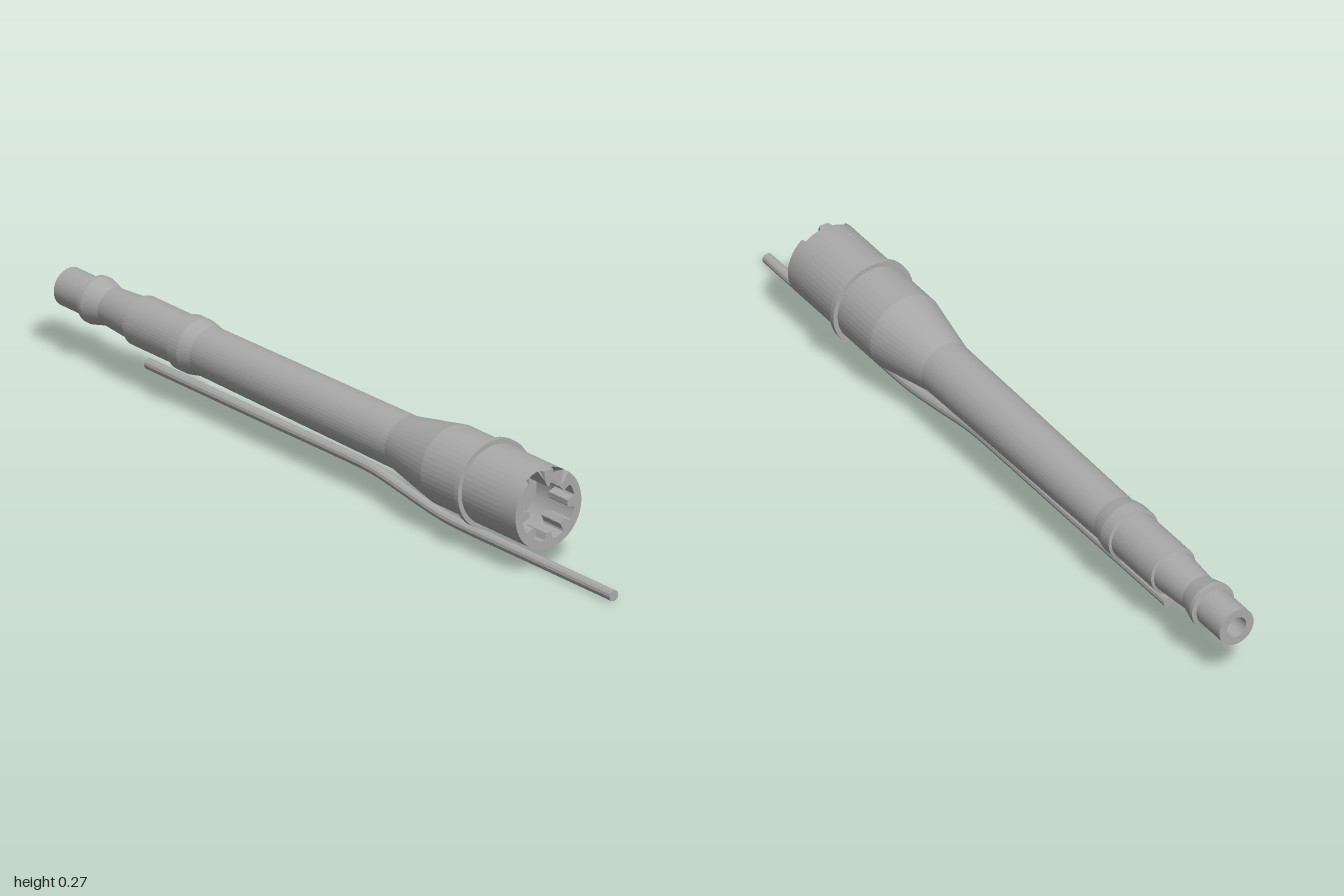
import * as THREE from 'three';

const AXIS_Y = 0.157;
const steel = new THREE.MeshStandardMaterial({ color: 0xaaaaaa, flatShading: true });
steel.name = 'grey steel';

// Revolve [radius, z] pairs about the z axis
function revolve(profile, segments) {
  const geo = new THREE.LatheGeometry(profile.map(([r, z]) => new THREE.Vector2(r, z)), segments);
  return geo.rotateX(Math.PI / 2);
}

function part(name, geometry) {
  const mesh = new THREE.Mesh(geometry, steel);
  mesh.name = name;
  return mesh;
}

// Front mouth: locking lugs inside the rim and two feed ramps near the top
function mouthGeometry() {
  const profile = [
    [0.1, 0.7], [0.1, 0.76], [0.08, 0.76], [0.08, 0.69], [0.08, 0.688], [0.08, 0.62],
    [0.058, 0.62], [0.037, 0.58], [0.035, 0.46], [0.027, 0.43], [0.027, -1],
  ];
  const geo = revolve(profile, 144);
  const pos = geo.attributes.position;
  for (let i = 0; i < pos.count; i++) {
    const row = i % profile.length;
    if (row < 1 || row > 3) continue;
    const x = pos.getX(i), y = pos.getY(i);
    const fromTop = Math.abs(THREE.MathUtils.radToDeg(Math.atan2(x, y)));
    const fromLug = Math.abs(fromTop - Math.round(fromTop / 45) * 45);
    const ramp = fromTop > 10 && fromTop < 36;
    if (row > 1) {
      const tip = fromTop < 20 ? 2 : 7;
      const height = 1 - THREE.MathUtils.smoothstep(fromLug, tip, 11);
      const scale = (0.08 - 0.022 * height) / 0.08;
      pos.setXY(i, x * scale, y * scale);
    }
    if (ramp && row === 1) pos.setZ(i, 0.747);
    if (ramp && row === 2) pos.setZ(i, 0.705);
  }
  geo.computeVertexNormals();
  return geo;
}

export function createModel() {
  const model = new THREE.Group();
  model.name = 'barrelAssembly';

  const barrel = new THREE.Group();
  barrel.name = 'barrel';
  barrel.position.y = AXIS_Y;
  model.add(barrel);

  // Stepped outer body from the muzzle to the mouth
  barrel.add(part('barrelBody', revolve([
    [0.027, -1], [0.048, -1], [0.048, -0.902], [0.059, -0.9], [0.059, -0.888], [0.047, -0.84],
    [0.055, -0.732], [0.062, -0.73], [0.062, -0.562], [0.069, -0.56], [0.069, -0.525],
    [0.061, -0.485], [0.068, 0.24], [0.1, 0.41], [0.1, 0.7],
  ], 48)));
  barrel.add(part('mouth', mouthGeometry()));

  // Raised ring around the chamber
  barrel.add(part('flange', revolve([
    [0.098, 0.548], [0.112, 0.548], [0.112, 0.562], [0.098, 0.562],
  ], 48)));

  // Small pin under the chamber
  const pin = part('indexPin', new THREE.CylinderGeometry(0.008, 0.008, 0.03, 12));
  pin.position.set(0, -0.096, 0.588);
  barrel.add(pin);

  // Thin bent tube running beneath the barrel
  const tubeRadius = 0.0135;
  const path = new THREE.CatmullRomCurve3([
    [0.014, 1], [0.014, 0.7], [0.014, 0.43], [0.017, 0.37], [0.034, 0.25],
    [0.051, 0.14], [0.0545, 0.09], [0.0545, -0.3], [0.0545, -0.71],
  ].map(([y, z]) => new THREE.Vector3(0, y, z)), false, 'centripetal');
  const tube = new THREE.Group();
  tube.name = 'gasTube';
  tube.add(part('tubeWall', new THREE.TubeGeometry(path, 60, tubeRadius, 12)));
  [[0.014, 1, 0], [0.0545, -0.71, Math.PI]].forEach(([y, z, turn]) => {
    const cap = part('tubeEnd', new THREE.CircleGeometry(tubeRadius, 12));
    cap.position.set(0, y, z);
    cap.rotation.y = turn;
    tube.add(cap);
  });
  model.add(tube);

  return model;
}
